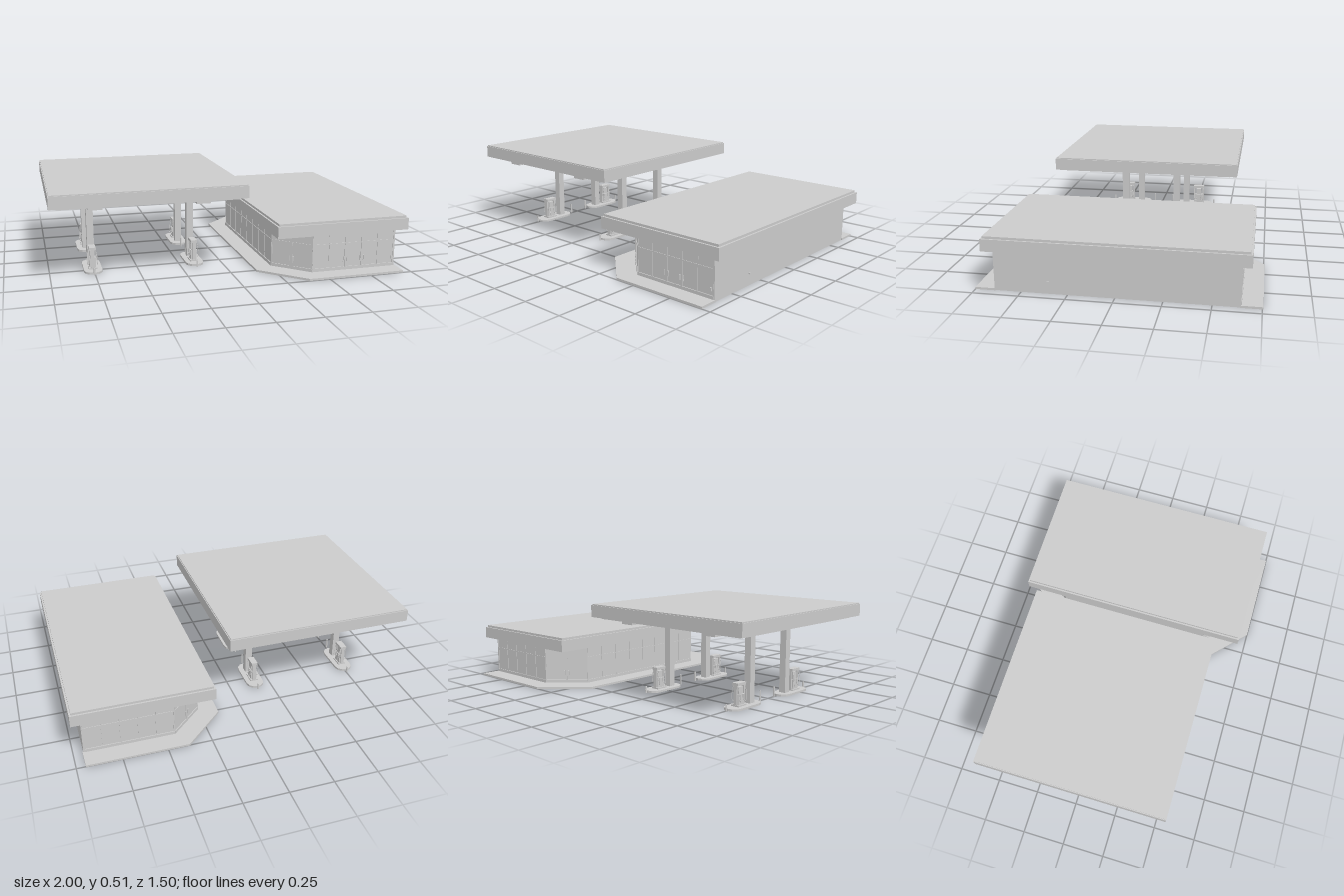
import * as THREE from 'three';

const mat = new THREE.MeshStandardMaterial({ color: 0xcccccc, flatShading: true });

function add(parent, name, geo) {
  const m = new THREE.Mesh(geo, mat);
  m.name = name;
  parent.add(m);
  return m;
}

// Box given by its min and max corners
function box(parent, name, x0, x1, y0, y1, z0, z1) {
  const m = add(parent, name, new THREE.BoxGeometry(x1 - x0, y1 - y0, z1 - z0));
  m.position.set((x0 + x1) / 2, (y0 + y1) / 2, (z0 + z1) / 2);
  return m;
}

// Flat slab standing on the ground, from an outline of [x, z] points
function slab(parent, name, pts, h) {
  const shape = new THREE.Shape(pts.map(p => new THREE.Vector2(p[0], p[1])));
  const geo = new THREE.ExtrudeGeometry(shape, { depth: h, bevelEnabled: false });
  geo.rotateX(Math.PI / 2).translate(0, h, 0);
  return add(parent, name, geo);
}

function group(parent, name) {
  const g = new THREE.Group();
  g.name = name;
  parent.add(g);
  return g;
}

// Glazed wall from a to b ([x, z]); its outside lies on local +z
function glazedWall(parent, name, a, b, panels, doorPanels = []) {
  const g = group(parent, name);
  const dx = b[0] - a[0], dz = b[1] - a[1], L = Math.hypot(dx, dz), H = 0.235;
  g.position.set((a[0] + b[0]) / 2, 0, (a[1] + b[1]) / 2);
  g.rotation.y = Math.atan2(-dz, dx);
  box(g, 'glass', -L / 2, L / 2, 0, H, -0.006, -0.002);
  box(g, 'sill', -L / 2, L / 2, 0, 0.03, -0.009, 0.003);
  box(g, 'transom', -L / 2, L / 2, 0.165, 0.171, -0.008, 0.001);
  box(g, 'header', -L / 2, L / 2, 0.222, H, -0.008, 0.001);
  for (let i = 0; i <= panels; i++) {
    const x = -L / 2 + 0.003 + (L - 0.006) * i / panels;
    box(g, 'mullion', x - 0.003, x + 0.003, 0.03, H, -0.008, 0.001);
  }
  // Pull handles on the doors
  for (const i of doorPanels) {
    const x = -L / 2 + L * i / panels;
    for (const s of [-1, 1]) {
      const c = x + s * 0.012;
      box(g, 'doorHandle', c - 0.003, c + 0.003, 0.06, 0.09, 0, 0.006);
    }
    box(g, 'doorLeafGap', x - 0.005, x + 0.005, 0.03, 0.165, -0.008, 0.002);
  }
}

function buildShop(root) {
  const g = group(root, 'shop');

  // Pavement wrapping three sides, open under the shop
  slab(g, 'pavement', [
    [0.95, 0.75], [0.38, 0.75], [0.145, 0.525], [0.145, -0.53], [0.38, -0.755], [0.95, -0.755],
    [0.95, -0.64], [0.435, -0.64], [0.258, -0.465], [0.258, 0.465], [0.435, 0.64], [0.95, 0.64],
  ], 0.012);

  // Walls with two cut corners
  box(g, 'backWall', 0.937, 0.945, 0, 0.235, -0.645, 0.645);
  glazedWall(g, 'frontWall', [0.435, 0.645], [0.94, 0.645], 5, [2, 3]);
  glazedWall(g, 'frontCornerWall', [0.252, 0.47], [0.435, 0.645], 2, [1]);
  glazedWall(g, 'sideWall', [0.252, -0.47], [0.252, 0.47], 8);
  glazedWall(g, 'rearCornerWall', [0.435, -0.645], [0.252, -0.47], 2, [1]);
  glazedWall(g, 'rearWall', [0.94, -0.645], [0.435, -0.645], 5);
  box(g, 'wallTap', 0.945, 0.952, 0.064, 0.07, 0.345, 0.357);
  box(g, 'wallSocket', 0.92, 0.93, 0.055, 0.072, 0.645, 0.652);

  // Flat roof with a deep fascia and a raised cap
  box(g, 'roofFascia', 0.21, 1, 0.235, 0.302, -0.695, 0.69);
  box(g, 'roofCap', 0.22, 0.99, 0.302, 0.315, -0.685, 0.68);
}

// Fuel dispenser: cabinet, two posts, header and hanging hoses
function buildPump(parent, z) {
  const g = group(parent, 'pump');
  g.position.set(0, 0.012, z);
  box(g, 'plinth', -0.024, 0.024, 0, 0.008, -0.036, 0.036);
  box(g, 'cabinet', -0.017, 0.017, 0.008, 0.065, -0.026, 0.026);
  box(g, 'display', -0.013, 0.013, 0.065, 0.105, -0.017, 0.017);
  box(g, 'header', -0.019, 0.019, 0.113, 0.128, -0.036, 0.036);
  for (const s of [-1, 1]) {
    box(g, 'post', -0.011, 0.011, 0.008, 0.113, s * 0.031 - 0.004, s * 0.031 + 0.004);
    for (const t of [-1, 1]) {
      const path = new THREE.CatmullRomCurve3([
        [0.016, 0.115, 0.03], [0.025, 0.07, 0.03], [0.027, 0.025, 0.024], [0.021, 0.03, 0.015], [0.017, 0.06, 0.012],
      ].map(p => new THREE.Vector3(s * p[0], p[1], t * p[2])));
      add(g, 'hose', new THREE.TubeGeometry(path, 10, 0.0018, 5));
      box(g, 'nozzle', s * 0.019 - 0.003, s * 0.019 + 0.003, 0.045, 0.065, t * 0.012 - 0.003, t * 0.012 + 0.003);
    }
  }
}

// Island with its canopy column; local +z is the outer side
function buildIsland(root, x, z, outward) {
  const g = group(root, 'pumpIsland');
  g.position.set(x, 0, z);
  if (outward < 0) g.rotation.y = Math.PI;
  const r = 0.052, pts = [];
  for (let i = 0; i <= 6; i++) {
    const a = Math.PI * i / 6;
    pts.push([r * Math.cos(a), 0.135 + r * Math.sin(a)]);
  }
  for (let i = 0; i <= 6; i++) {
    const a = Math.PI * (1 + i / 6);
    pts.push([r * Math.cos(a), -0.02 + r * Math.sin(a)]);
  }
  slab(g, 'kerb', pts, 0.012);
  box(g, 'column', -0.02, 0.02, 0.01, 0.42, -0.02, 0.02);
  buildPump(g, 0.09);
  // Guard posts at both ends
  for (const [pz, h] of [[0.198, 0.04], [-0.1, 0.06]]) {
    const post = add(g, 'guardPost', new THREE.CylinderGeometry(0.005, 0.005, h, 8));
    post.position.set(0, h / 2, pz);
  }
}

function buildCanopy(root) {
  const g = group(root, 'canopy');
  box(g, 'canopyFascia', -1, 0.09, 0.44, 0.509, -0.57, 0.545);
  box(g, 'canopyCap', -0.995, 0.085, 0.509, 0.515, -0.565, 0.54);
  box(g, 'canopySoffit', -0.96, 0.05, 0.428, 0.44, -0.525, 0.51);
  for (const x of [-0.755, -0.16]) {
    box(g, 'soffitBeam', x - 0.04, x + 0.04, 0.416, 0.428, -0.525, 0.51);
    buildIsland(g, x, 0.15, 1);
    buildIsland(g, x, -0.18, -1);
  }
}

export function createModel() {
  const root = new THREE.Group();
  root.name = 'fuelStation';
  buildCanopy(root);
  buildShop(root);
  return root;
}
